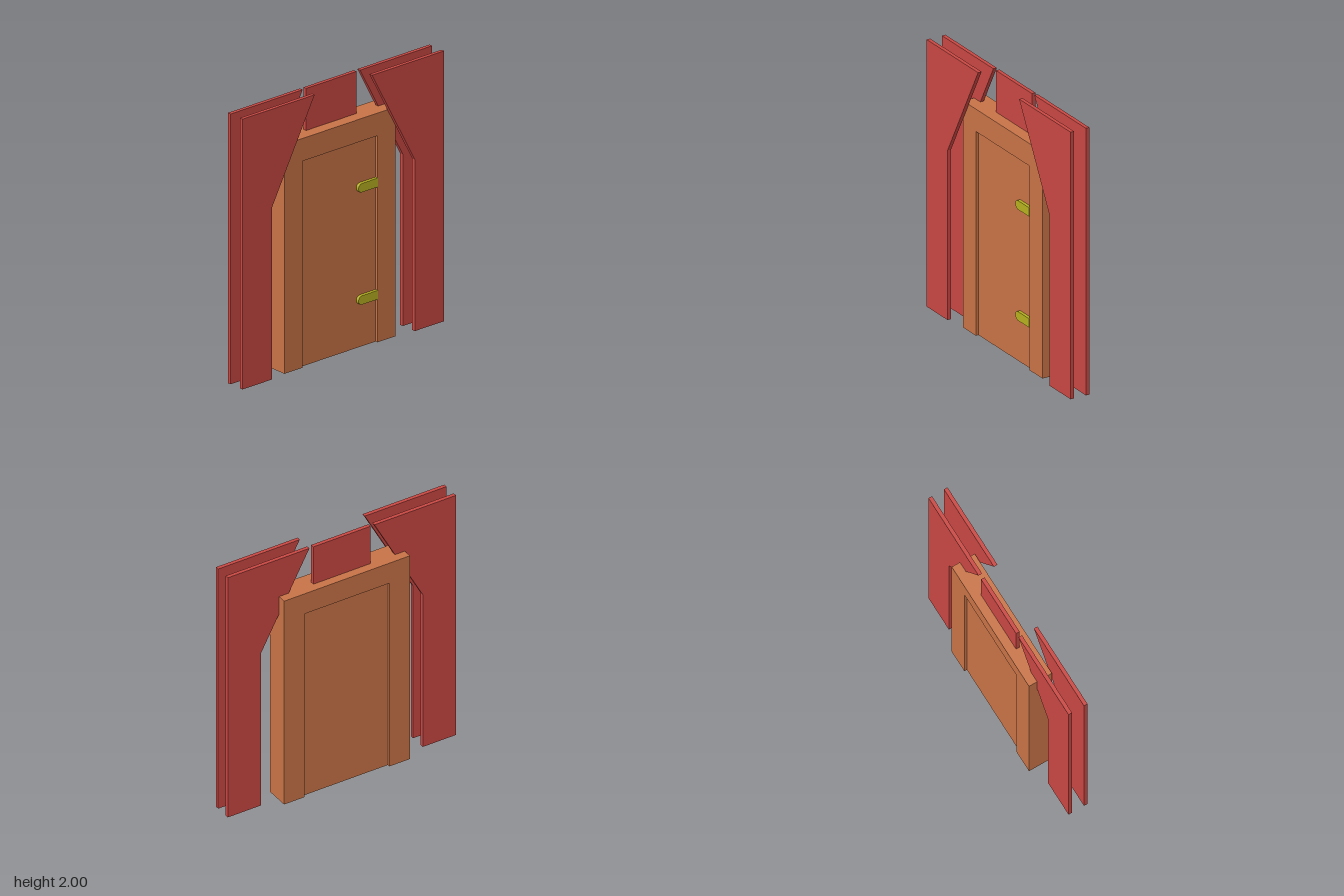
import * as THREE from 'three';

const material = (color) => new THREE.MeshStandardMaterial({ color, flatShading: true });

// Flat outline in x/y, extruded from z = back to z = front.
function slab(name, shape, back, front, mat, curveSegments = 6) {
  const geometry = new THREE.ExtrudeGeometry(shape, {
    depth: front - back, bevelEnabled: false, curveSegments,
  });
  geometry.translate(0, 0, back);
  const mesh = new THREE.Mesh(geometry, mat);
  mesh.name = name;
  return mesh;
}

const outline = (points) => new THREE.Shape(points.map(([x, y]) => new THREE.Vector2(x, y)));

export function createModel() {
  const model = new THREE.Group();
  model.name = 'curtainedDoorway';

  const wood = material(0xc87347);
  const red = material(0xc84742);
  const brass = material(0xb5b020);

  // Thick frame: two jambs and a lintel
  const W = 0.507, H = 1.69, w = 0.342, h = 1.523;
  model.add(slab('doorFrame', outline([
    [-W, 0], [-w, 0], [-w, h], [w, h], [w, 0], [W, 0], [W, H], [-W, H],
  ]), -0.108, 0.075, wood));

  // Door panel, slightly recessed on both faces
  model.add(slab('door', outline([[-w, 0], [w, 0], [w, h], [-w, h]]), -0.088, 0.055, wood));

  // Strap hinges with rounded tips
  const r = 0.033;
  for (const [name, y] of [['lowerHinge', 0.351], ['upperHinge', 1.179]]) {
    const strap = new THREE.Shape();
    strap.moveTo(w, y - r);
    strap.lineTo(w, y + r);
    strap.lineTo(0.165 + r, y + r);
    strap.absarc(0.165 + r, y, r, Math.PI / 2, Math.PI * 1.5, false);
    model.add(slab(name, strap, 0.055, 0.078, brass));
  }

  // Front and back pairs of side drapes
  for (const [layer, back, front] of [['front', 0.08, 0.108], ['back', -0.043, -0.015]]) {
    for (const [side, s] of [['Left', 1], ['Right', -1]]) {
      const points = [[0.652, 0.008], [0.919, 0.008], [0.919, 2], [0.262, 2], [0.652, 1.273]];
      model.add(slab(`${layer}${side}Drape`, outline(points.map(([x, y]) => [s * x, y])), back, front, red));
    }
  }

  // Short panel standing on the lintel between the back drapes
  model.add(slab('centrePanel', outline([
    [-0.23, H], [0.23, H], [0.23, 2], [-0.23, 2],
  ]), -0.043, -0.015, red));

  return model;
}
